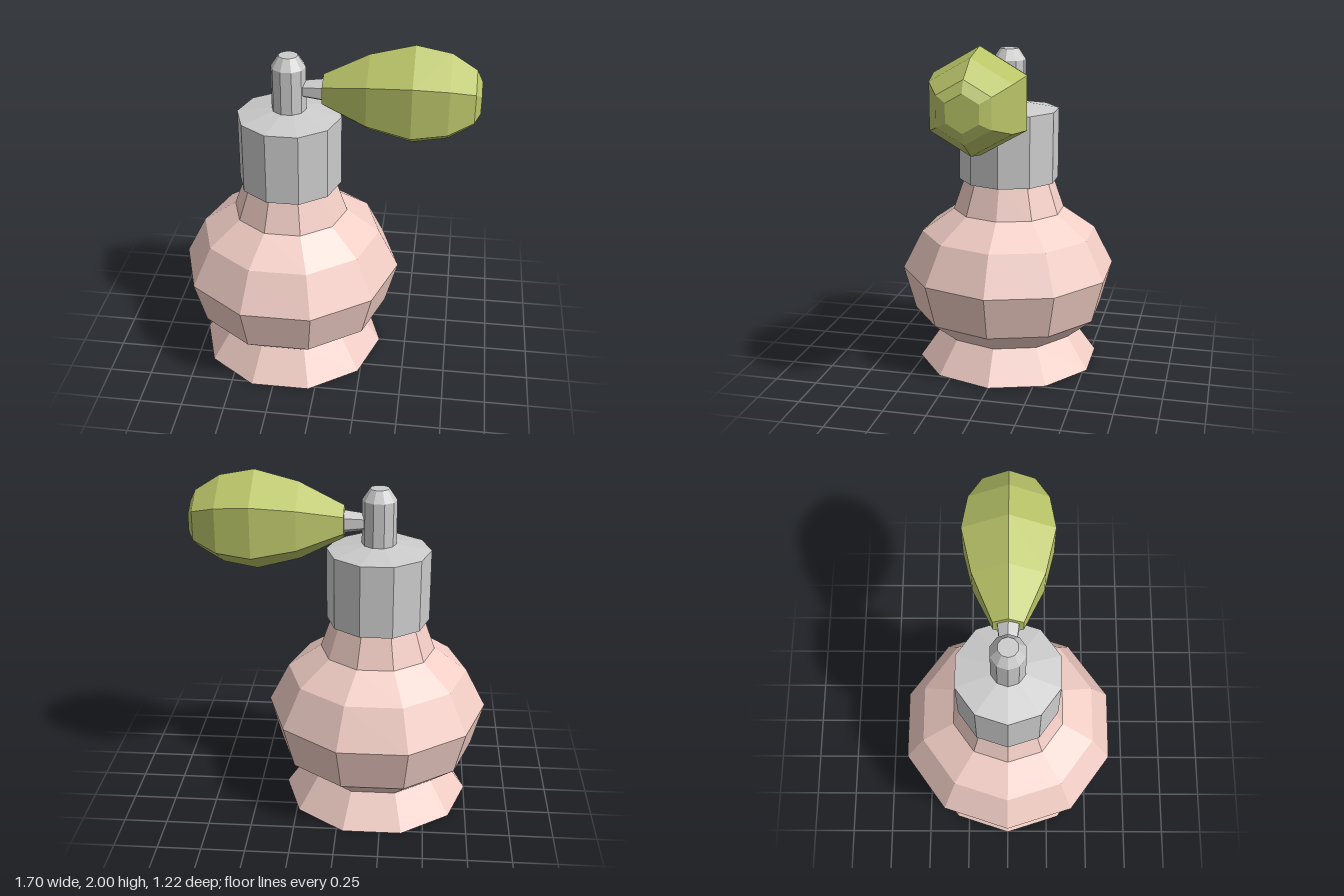
import * as THREE from 'three';

const AXIS_X = -0.207; // centre line of the bottle
const BULB_Y = 1.71;   // height of the pipe and squeeze bulb

function faceted(name, color, profile, sides) {
  // Low-poly turned part; profile is [radius, height] from bottom to top, a corner points to +x
  const points = profile.map(([r, y]) => new THREE.Vector2(r, y));
  const geometry = new THREE.LatheGeometry(points, sides, Math.PI / 2);
  const material = new THREE.MeshStandardMaterial({ color, flatShading: true });
  const mesh = new THREE.Mesh(geometry, material);
  mesh.name = name;
  return mesh;
}

function upright(name, color, profile) {
  const mesh = faceted(name, color, profile, 10);
  mesh.position.x = AXIS_X;
  return mesh;
}

function sideways(name, color, profile) {
  const mesh = faceted(name, color, profile, 6);
  mesh.rotation.z = -Math.PI / 2; // profile height now runs along +x
  mesh.position.y = BULB_Y;
  return mesh;
}

export function createModel() {
  const group = new THREE.Group();
  group.name = 'perfumeBottle';
  const pink = 0xf2cec6, grey = 0xcccccc, green = 0xb9c468;

  // Glass body with flared foot, round belly and tapering neck
  group.add(upright('bottle', pink, [
    [0, 0], [0.547, 0], [0.413, 0.19], [0.573, 0.32], [0.643, 0.58],
    [0.525, 0.81], [0.333, 0.945], [0.265, 1.14], [0, 1.14],
  ]));

  // Collar with a shallow sloping top
  group.add(upright('collar', grey, [
    [0, 1.13], [0.297, 1.13], [0.297, 1.55], [0.09, 1.588], [0, 1.588],
  ]));

  // Nozzle post with a bevelled tip
  group.add(upright('nozzle', grey, [
    [0, 1.57], [0.098, 1.57], [0.098, 1.84], [0.055, 1.905], [0, 1.905],
  ]));

  // Pipe widening from the nozzle to the bulb
  group.add(sideways('pipe', grey, [
    [0, -0.2], [0.04, -0.2], [0.068, 0], [0, 0],
  ]));

  // Squeeze bulb
  group.add(sideways('squeezeBulb', green, [
    [0, -0.012], [0.095, -0.012], [0.225, 0.24], [0.29, 0.485],
    [0.253, 0.68], [0.165, 0.818], [0.1, 0.85], [0, 0.85],
  ]));

  return group;
}
